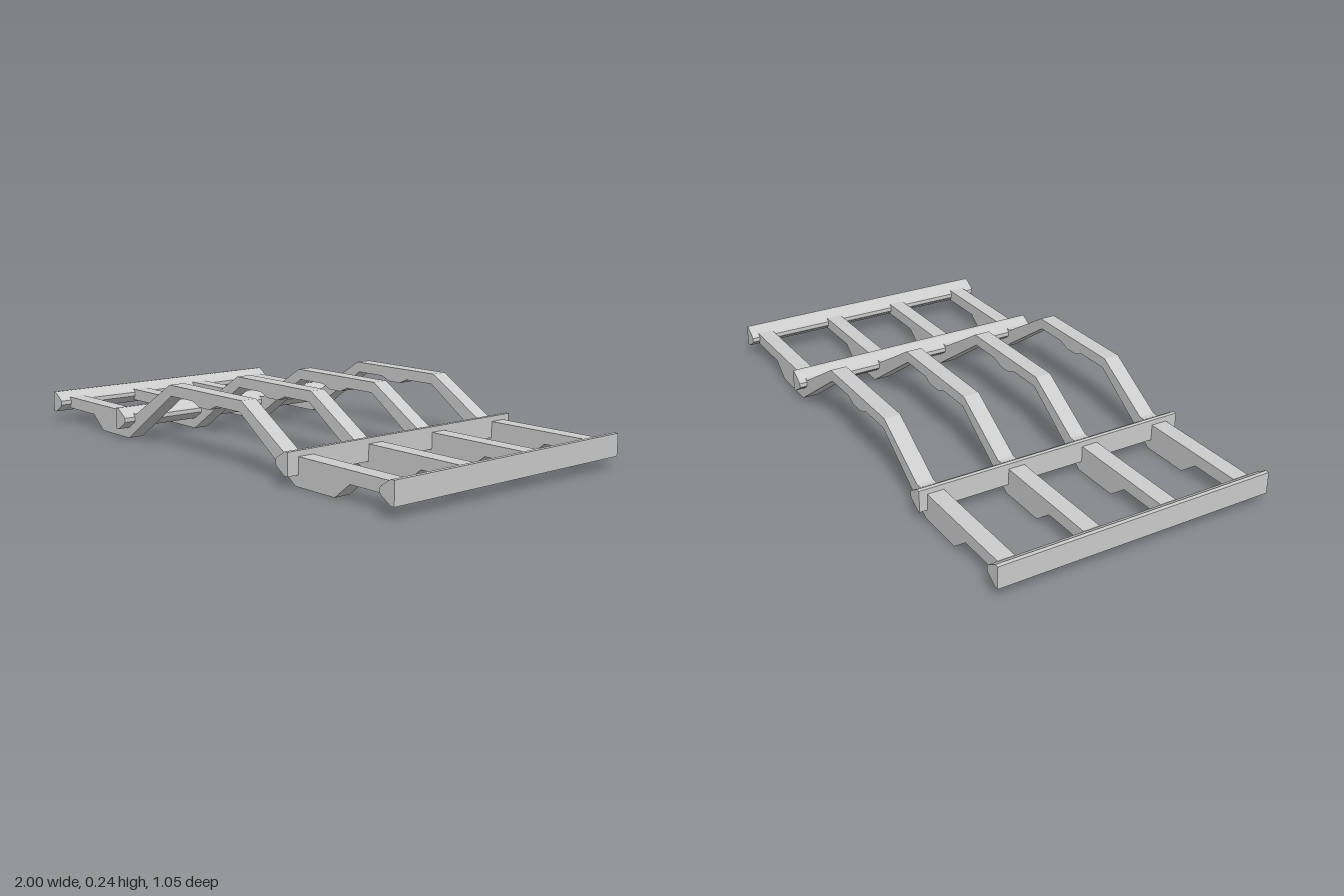
import * as THREE from 'three';

// Extrude an outline drawn in x/y along z, centred on the given z
function prism(points, depth, z, material, name) {
  const shape = new THREE.Shape(points.map(([x, y]) => new THREE.Vector2(x, y)));
  const geometry = new THREE.ExtrudeGeometry(shape, { depth, bevelEnabled: false });
  geometry.translate(0, 0, z - depth / 2);
  const mesh = new THREE.Mesh(geometry, material);
  mesh.name = name;
  return mesh;
}

export function createModel() {
  const model = new THREE.Group();
  model.name = 'frame';
  const grey = new THREE.MeshStandardMaterial({ color: 0xcccccc });
  grey.name = 'light grey';

  // Half outline of an arched beam: underside from the centre outwards, then the top back in
  const half = [
    [0.03, 0.183], [0.07, 0.2], [0.205, 0.2], [0.5, 0], [0.69, 0], [0.76, 0.055], [0.95, 0.055],
    [0.95, 0.1], [0.445, 0.1], [0.215, 0.24],
  ];
  const outline = [...half, ...half.map(([x, y]) => [-x, y]).reverse()];

  // Four arched beams side by side
  for (const z of [0.45, 0.146, -0.154, -0.465]) {
    model.add(prism(outline, 0.062, z, grey, 'archedBeam'));
  }

  // Cross rails: flat outer face, tapering towards the middle
  const section = [
    [0, 0.04], [0.015, 0.04], [0.055, 0.065], [0.061, 0.072],
    [0.061, 0.088], [0.055, 0.095], [0.015, 0.12], [0, 0.12],
  ];
  for (const side of [-1, 1]) {
    for (const [x, name] of [[1, 'endRail'], [0.515, 'innerRail']]) {
      const points = section.map(([dx, y]) => [side * (x - dx), y]);
      model.add(prism(points, 1.052, 0, grey, name));
    }
  }
  return model;
}
